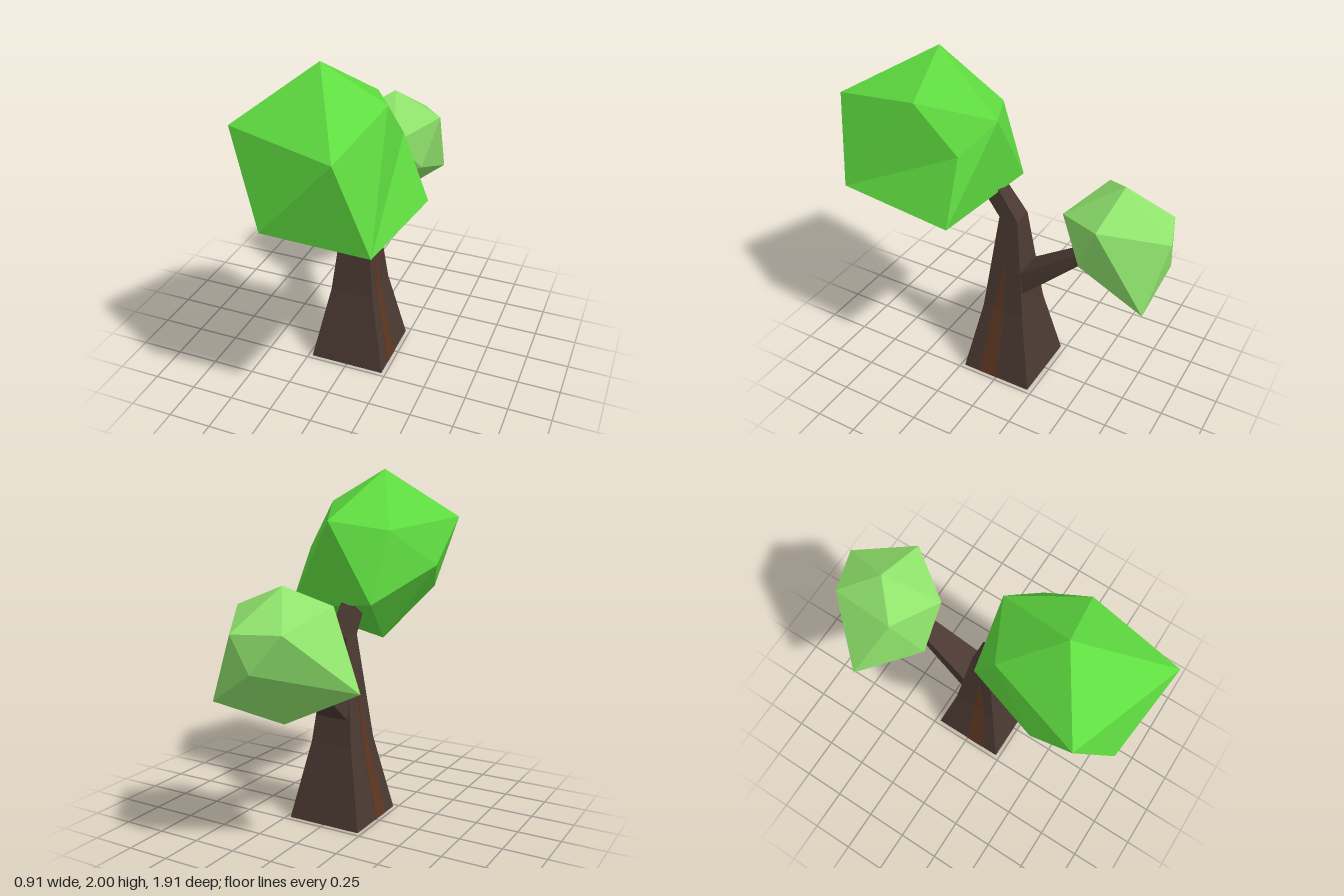
import * as THREE from 'three';

const material = (color) => new THREE.MeshStandardMaterial({ color, flatShading: true });

// Faceted mesh from corner points and triangles
function facetMesh(name, triangles, color) {
  const geometry = new THREE.BufferGeometry();
  geometry.setAttribute('position', new THREE.Float32BufferAttribute(triangles.flat(2), 3));
  geometry.computeVertexNormals();
  const mesh = new THREE.Mesh(geometry, material(color));
  mesh.name = name;
  return mesh;
}

// Four-sided limb through sections [halfWidth, frontY, frontZ, backY, backZ]
function limb(name, sections, color) {
  const rings = sections.map(([w, fy, fz, by, bz]) => [[w, fy, fz], [w, by, bz], [-w, by, bz], [-w, fy, fz]]);
  const tris = [];
  for (let s = 0; s < rings.length - 1; s++) {
    const lo = rings[s], hi = rings[s + 1];
    for (let i = 0; i < 4; i++) {
      const j = (i + 1) % 4;
      tris.push([lo[i], lo[j], hi[j]], [lo[i], hi[j], hi[i]]);
    }
  }
  const [a, b, c, d] = rings[0], [e, f, g, h] = rings[rings.length - 1];
  tris.push([a, c, b], [a, d, c], [e, f, g], [e, g, h]);
  return facetMesh(name, tris, color);
}

// Irregular 20-sided crown: two staggered rings of five between two poles.
// Each falling edge is split at its midpoint; notch moves the first one inward.
function crown(name, top, upper, lower, bottom, color, notch) {
  const tris = [];
  const mid = upper.map((u, i) => u.map((v, k) => (v + lower[i][k]) / 2));
  if (notch) mid[0] = notch;
  for (let i = 0; i < 5; i++) {
    const n = (i + 1) % 5, p = (i + 4) % 5;
    tris.push(
      [top, upper[i], upper[n]],
      [upper[i], mid[i], upper[n]], [mid[i], lower[i], upper[n]],
      [lower[p], lower[i], mid[i]], [lower[p], mid[i], upper[i]],
      [bottom, lower[n], lower[i]],
    );
  }
  return facetMesh(name, tris, color);
}

export function createModel() {
  const tree = new THREE.Group();
  tree.name = 'tree';
  const bark = 0x4a3932;

  // Tapered trunk, bent forward at the tip
  tree.add(limb('trunk', [
    [0.225, 0, 0.225, 0, -0.22],
    [0.13, 0.46, 0.135, 0.46, -0.13],
    [0.06, 1.08, 0.06, 1.08, -0.055],
    [0.05, 1.19, 0.15, 1.25, 0.07],
  ], bark));

  // Reddish streak showing on both flanks of the trunk
  tree.add(limb('barkStreak', [
    [0.227, 0.001, 0.117, 0.001, 0],
    [0.132, 0.46, 0.065, 0.46, 0.003],
    [0.095, 0.8, 0.012, 0.8, 0.008],
  ], 0x5e3622));

  // Side branch rising to the back
  tree.add(limb('branch', [
    [0.1, 0.74, -0.07, 0.59, -0.085],
    [0.055, 0.99, -0.43, 0.95, -0.476],
  ], bark));

  // Large front crown
  tree.add(crown('largeCrown', [-0.02, 2, 0.466],
    [[0.31, 1.807, 0.42], [0.115, 1.717, 0.03], [-0.2, 1.665, 0.18], [-0.39, 1.717, 0.73], [0.247, 1.717, 0.955]],
    [[0.45, 1.187, 0.158], [-0.165, 1.257, 0.03], [-0.357, 1.446, 0.49], [-0.165, 1.26, 0.9], [0.4, 1.223, 0.867]],
    [-0.02, 0.98, 0.466], 0x5fdc40, [0.305, 1.557, 0.16]));

  // Small back crown
  tree.add(crown('smallCrown', [-0.03, 1.447, -0.648],
    [[0.27, 1.325, -0.62], [0.07, 1.245, -0.957], [-0.18, 1.25, -0.88], [-0.225, 1.335, -0.477], [0.08, 1.245, -0.345]],
    [[0.232, 0.875, -0.895], [-0.025, 1.05, -0.937], [-0.457, 0.937, -0.613], [-0.127, 0.926, -0.345], [0.2, 1.03, -0.505]],
    [-0.03, 0.727, -0.648], 0x8fe26c));

  return tree;
}
